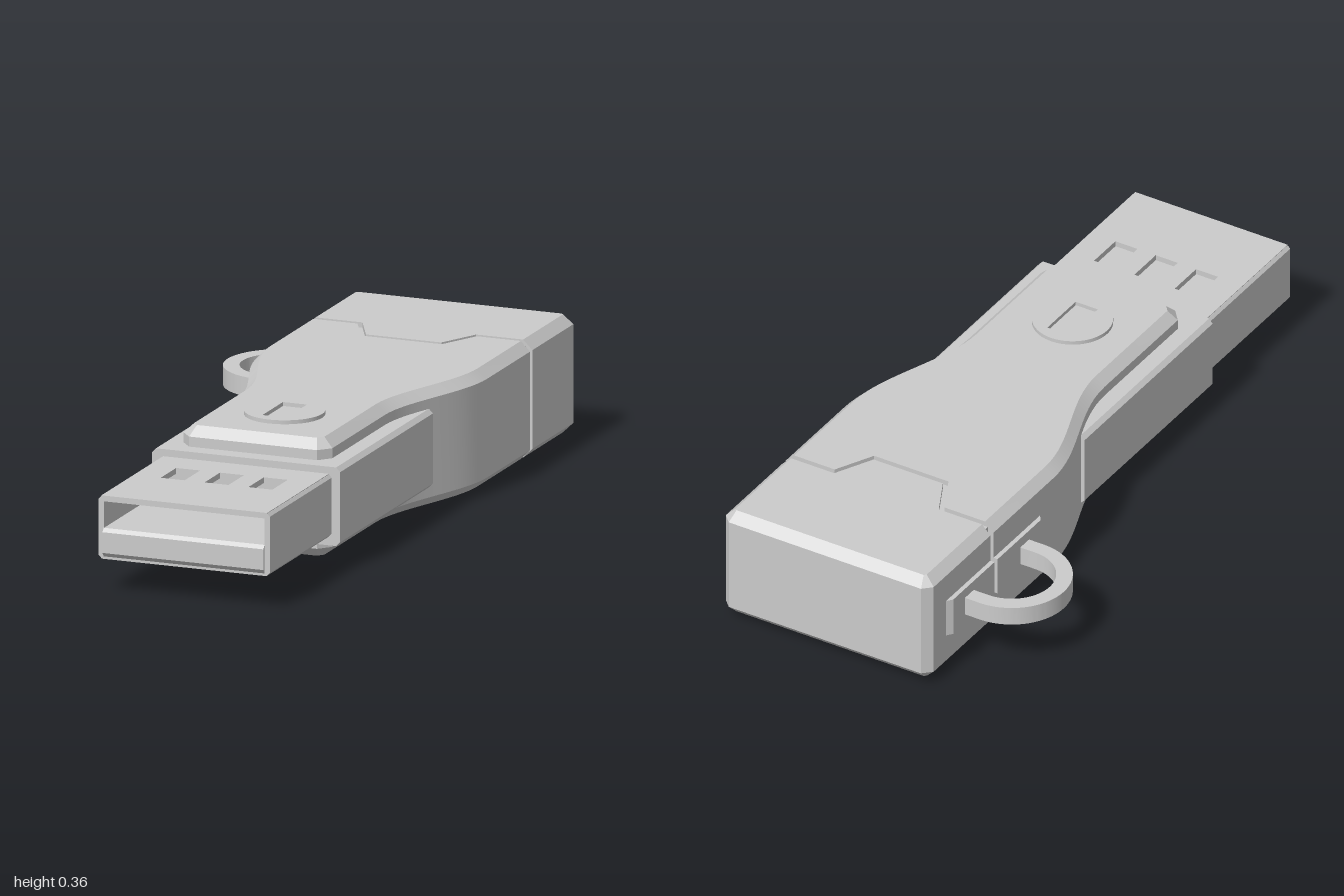
import * as THREE from 'three';
import { toCreasedNormals } from 'three/addons/utils/BufferGeometryUtils.js';

const CX = 0.11, MID = 0.18; // centre line of the stick
const mat = new THREE.MeshStandardMaterial({ color: 0xcccccc });

function add(parent, name, geo) {
  const mesh = new THREE.Mesh(geo, mat);
  mesh.name = name;
  parent.add(mesh);
  return mesh;
}

function box(parent, name, x0, x1, y0, y1, z0, z1) {
  const mesh = add(parent, name, new THREE.BoxGeometry(x1 - x0, y1 - y0, z1 - z0));
  mesh.position.set((x0 + x1) / 2, (y0 + y1) / 2, (z0 + z1) / 2);
  return mesh;
}

const polygon = (pts) => new THREE.Shape(pts.map(([x, y]) => new THREE.Vector2(x, y)));
const rect = (x0, x1, y0, y1) => polygon([[x0, y0], [x1, y0], [x1, y1], [x0, y1]]);
const extrude = (shape, depth) =>
  new THREE.ExtrudeGeometry(shape, { depth, bevelEnabled: false, curveSegments: 32 });
// Extrudes a plan shape (x, -z) upwards from y0 to y1
const slab = (shape, y0, y1) =>
  toCreasedNormals(extrude(shape, y1 - y0).rotateX(-Math.PI / 2).translate(0, y0, 0), 0.5);

// Mirrored plan outline, chamfered at top and bottom.
// Each point: [half width, z, inset half width, inset z], from back to front.
function chamferedBlock(half) {
  const pts = [...half, ...half.slice().reverse().map(([w, z, iw, iz]) => [-w, z, -iw, iz])];
  const outer = pts.map((p) => [CX + p[0], p[1]]);
  const inner = pts.map((p) => [CX + p[2], p[3]]);
  const loops = [[inner, 0.015], [outer, 0.042], [outer, 0.318], [inner, 0.345]]
    .map(([loop, y]) => loop.map(([x, z]) => [x, y, z]));
  const pos = [];
  const n = pts.length;
  for (let k = 0; k < 3; k++) {
    for (let i = 0; i < n; i++) {
      const j = (i + 1) % n;
      const a = loops[k][i], b = loops[k + 1][i], c = loops[k + 1][j], d = loops[k][j];
      pos.push(...a, ...b, ...c, ...a, ...c, ...d);
    }
  }
  const flat = inner.map(([x, z]) => new THREE.Vector2(x, z));
  for (const [a, b, c] of THREE.ShapeUtils.triangulateShape(flat, [])) {
    const ccw = THREE.ShapeUtils.area([flat[a], flat[b], flat[c]]) > 0;
    const [p, q] = ccw ? [b, c] : [c, b];
    pos.push(...loops[0][a], ...loops[0][p], ...loops[0][q]);
    pos.push(...loops[3][a], ...loops[3][q], ...loops[3][p]);
  }
  const geo = new THREE.BufferGeometry();
  geo.setAttribute('position', new THREE.Float32BufferAttribute(pos, 3));
  return toCreasedNormals(geo, 0.35);
}

export function createModel() {
  const model = new THREE.Group();
  model.name = 'usbStick';

  // Rear cap with a trapezoid tongue
  add(model, 'rearCap', chamferedBlock([
    [0.305, -1, 0.297, -0.973], [0.33, -0.975, 0.303, -0.967],
    [0.33, -0.683, 0.303, -0.683], [0.166, -0.683, 0.166, -0.683], [0.11, -0.571, 0.11, -0.571],
  ]));

  // Main body narrowing to a neck
  const body = [
    [0.118, -0.555, 0.118, -0.555], [0.174, -0.667, 0.174, -0.667], [0.33, -0.667, 0.303, -0.667],
  ];
  const steps = 16;
  for (let i = 0; i <= steps; i++) {
    const t = i / steps, s = t * t * (3 - 2 * t);
    const w = 0.33 - 0.113 * s, z = -0.36 + 0.45 * t;
    body.push([w, z, w - 0.027, z]);
  }
  body.push([0.217, 0.465, 0.19, 0.455], [0.187, 0.5, 0.175, 0.473]);
  add(model, 'body', chamferedBlock(body));

  // Core closing the seam between cap and body
  box(model, 'seamCore', CX - 0.312, CX + 0.312, 0.03, 0.33, -0.76, -0.48);

  // Sleeve that holds the plug
  const w = 0.275, h = 0.11, c = 0.012;
  const sleeve = polygon([[-w + c, -h], [w - c, -h], [w, -h + c], [w, h - c],
    [w - c, h], [-w + c, h], [-w, h - c], [-w, -h + c]]);
  add(model, 'sleeve', extrude(sleeve, 0.66)).position.set(CX, MID, -0.11);

  // Hollow plug: channel, windowed top plate and contact tongue
  const plug = new THREE.Group();
  plug.name = 'plug';
  model.add(plug);
  const channel = polygon([[-0.24, 0.093], [0.24, 0.093], [0.25, 0.103], [0.25, 0.26], [0.243, 0.268],
    [0.234, 0.268], [0.234, 0.106], [-0.234, 0.106], [-0.234, 0.268], [-0.243, 0.268],
    [-0.25, 0.26], [-0.25, 0.103]]);
  add(plug, 'plugChannel', extrude(channel, 0.45)).position.set(CX, 0, 0.54);
  const top = rect(CX - 0.242, CX + 0.242, -0.99, -0.54);
  for (const x of [-0.128, 0, 0.128]) {
    top.holes.push(rect(CX + x - 0.035, CX + x + 0.035, -0.76, -0.65));
  }
  add(plug, 'plugTop', slab(top, 0.254, 0.27));
  const tongue = polygon([[-0.55, 0.1], [-0.99, 0.1], [-1, 0.112], [-1, 0.17], [-0.99, 0.18], [-0.55, 0.18]]);
  const tongueGeo = extrude(tongue, 0.47).rotateY(Math.PI / 2).translate(CX - 0.235, 0, 0);
  add(plug, 'contactTongue', tongueGeo);

  // Flat pivot discs with a rectangular recess, above and below
  const disc = new THREE.Shape().absarc(CX, -0.275, 0.11, 0, Math.PI * 2);
  disc.holes.push(rect(CX - 0.035, CX + 0.035, -0.348, -0.202));
  add(model, 'topDisc', slab(disc, 0.343, 0.356));
  add(model, 'bottomDisc', slab(disc, 0, 0.017));

  // Key loop with its mounting plates on both sides of the seam
  const loop = new THREE.Shape();
  loop.moveTo(-0.2, 0.835).lineTo(-0.28, 0.835);
  loop.absarc(-0.28, 0.67, 0.165, Math.PI / 2, Math.PI * 1.5);
  loop.lineTo(-0.2, 0.505).lineTo(-0.2, 0.55).lineTo(-0.28, 0.55);
  loop.absarc(-0.28, 0.67, 0.12, Math.PI * 1.5, Math.PI / 2, true);
  loop.lineTo(-0.2, 0.79);
  add(model, 'keyLoop', slab(loop, 0.153, 0.207));
  const plates = [
    [[-0.21, 0.925], [-0.233, 0.895], [-0.233, 0.683], [-0.21, 0.683]],
    [[-0.21, 0.667], [-0.233, 0.667], [-0.233, 0.445], [-0.21, 0.415]],
  ];
  for (const pts of plates) add(model, 'loopPlate', slab(polygon(pts), 0.124, 0.236));

  return model;
}
